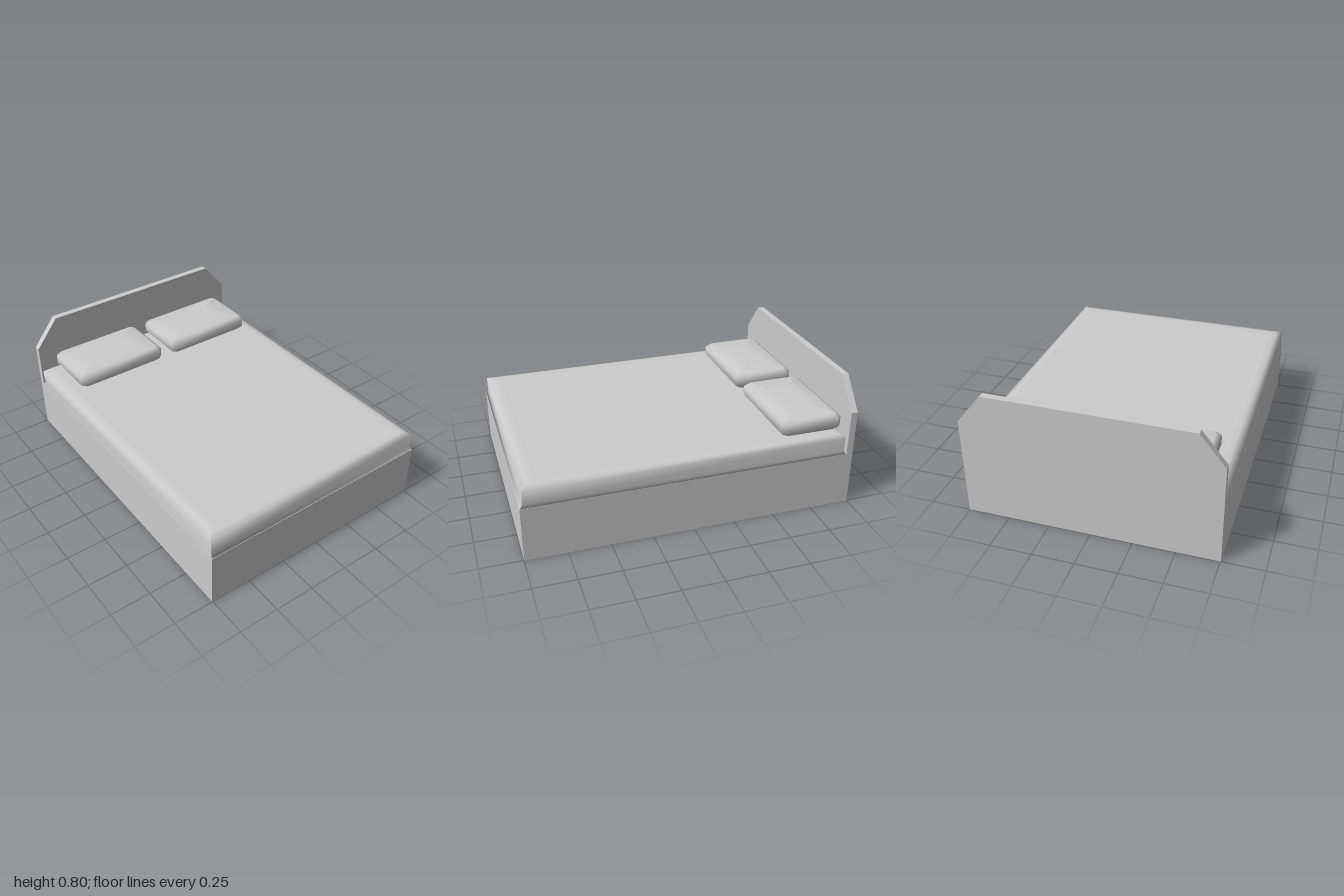
import * as THREE from 'three';

// Smooth closed form from stacked rings [x0, x1, z0, z1, y, cornerCut], bottom to top
function stackedRings(rings) {
  const pos = [], index = [], n = 8;
  for (const [x0, x1, z0, z1, y, c] of rings) {
    const loop = [[x1, z1 - c], [x1, z0 + c], [x1 - c, z0], [x0 + c, z0],
      [x0, z0 + c], [x0, z1 - c], [x0 + c, z1], [x1 - c, z1]];
    for (const [x, z] of loop) pos.push(x, y, z);
  }
  for (let r = 0; r < rings.length - 1; r++) {
    for (let i = 0; i < n; i++) {
      const a = r * n + i, b = r * n + (i + 1) % n;
      index.push(a, b, b + n, a, b + n, a + n);
    }
  }
  // End caps
  const last = (rings.length - 1) * n;
  for (let i = 1; i < n - 1; i++) {
    index.push(0, i + 1, i, last, last + i, last + i + 1);
  }
  const geo = new THREE.BufferGeometry();
  geo.setAttribute('position', new THREE.Float32BufferAttribute(pos, 3));
  geo.setIndex(index);
  geo.computeVertexNormals();
  return geo;
}

export function createModel() {
  const model = new THREE.Group();
  model.name = 'bed';
  const grey = new THREE.MeshStandardMaterial({ color: 0xcccccc });
  grey.name = 'light grey';
  const add = (name, geo) => {
    const mesh = new THREE.Mesh(geo, grey);
    mesh.name = name;
    model.add(mesh);
    return mesh;
  };

  // Box base
  add('base', new THREE.BoxGeometry(1.96, 0.34, 1.51)).position.set(0.02, 0.17, 0);

  // Headboard with cut top corners, standing across the -x end
  const outline = new THREE.Shape([[-0.755, 0], [0.755, 0], [0.755, 0.615], [0.605, 0.8],
    [-0.605, 0.8], [-0.755, 0.615]].map(([z, y]) => new THREE.Vector2(z, y)));
  const headboard = add('headboard', new THREE.ExtrudeGeometry(outline, { depth: 0.04, bevelEnabled: false }));
  headboard.rotation.y = Math.PI / 2;
  headboard.position.x = -1;

  // Mattress: flared foot, upright sides, softened top edge
  add('mattress', stackedRings([
    [-0.957, 0.998, -0.755, 0.755, 0.341, 0.004],
    [-0.945, 0.985, -0.749, 0.749, 0.362, 0.004],
    [-0.945, 0.985, -0.753, 0.753, 0.449, 0.004],
    [-0.93, 0.94, -0.715, 0.715, 0.461, 0.004],
    [-0.9, 0.9, -0.68, 0.68, 0.462, 0.004],
  ]));

  // Two pillows with bevelled edges and gently domed tops
  const pillow = stackedRings([
    [-0.165, 0.165, -0.28, 0.28, 0.458, 0.02],
    [-0.195, 0.195, -0.308, 0.308, 0.487, 0.03],
    [-0.195, 0.195, -0.308, 0.308, 0.54, 0.03],
    [-0.165, 0.165, -0.28, 0.28, 0.562, 0.02],
    [-0.07, 0.07, -0.15, 0.15, 0.565, 0.02],
  ]);
  for (const [name, z] of [['rightPillow', 0.338], ['leftPillow', -0.362]]) {
    add(name, pillow).position.set(-0.765, 0, z);
  }
  return model;
}
